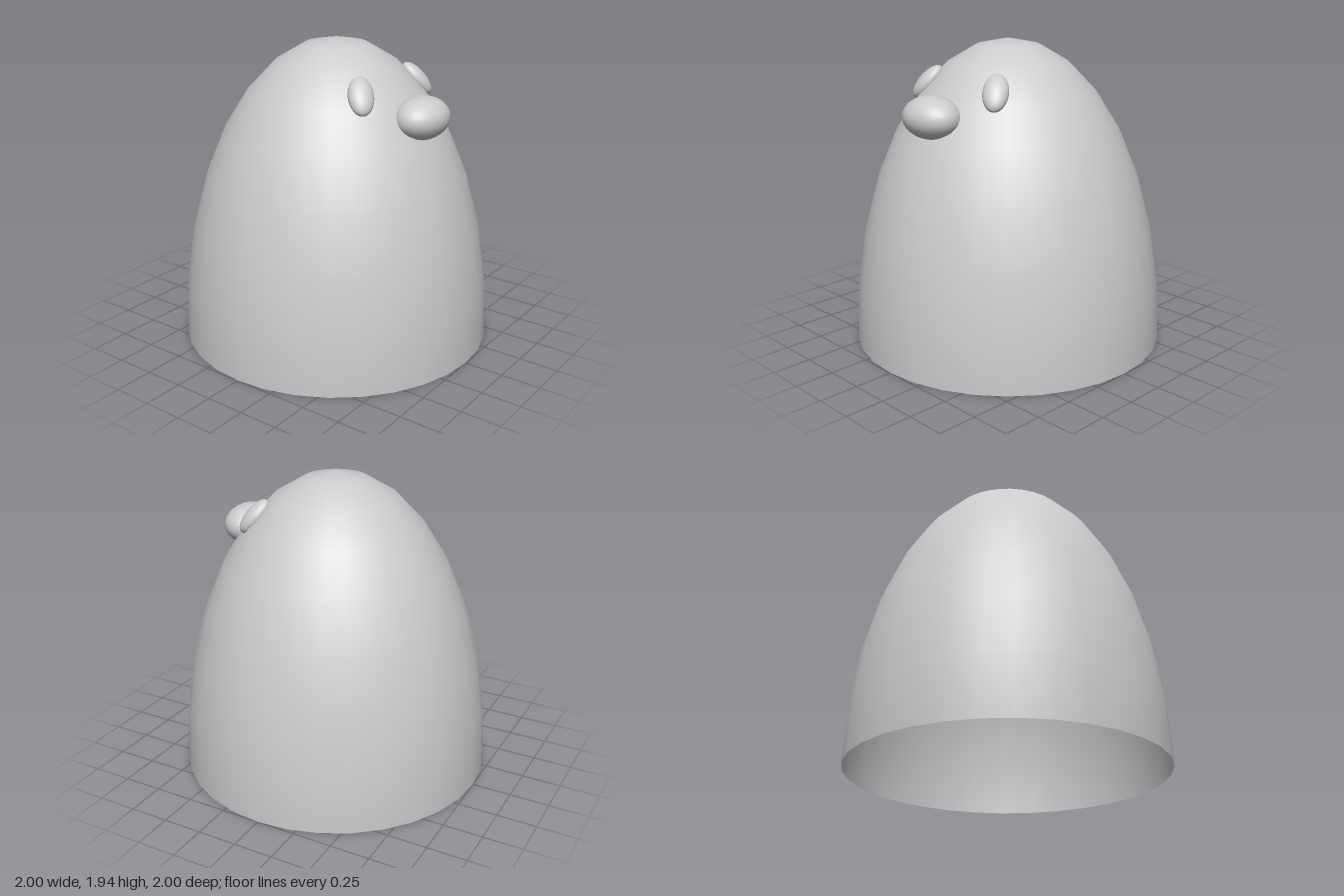
import * as THREE from 'three';

const material = new THREE.MeshStandardMaterial({ color: 0xcccccc });
const shellMaterial = new THREE.MeshStandardMaterial({ color: 0xcccccc, side: THREE.DoubleSide });

const BODY_HEIGHT = 1.94;

// Smooth ellipsoid with the given half sizes
function ellipsoid(name, rx, ry, rz) {
  const geometry = new THREE.SphereGeometry(1, 32, 20).scale(rx, ry, rz);
  const mesh = new THREE.Mesh(geometry, material);
  mesh.name = name;
  return mesh;
}

// Flattened oval lying on the body surface, its long axis running up the body
function eye(name, heading, twist) {
  const y = 1.675;
  const r = Math.sqrt(1 - (y / BODY_HEIGHT) ** 2);
  const tilt = Math.atan2(y / BODY_HEIGHT ** 2, r);
  const mesh = ellipsoid(name, 0.078, 0.128, 0.055);
  mesh.position.set(r * Math.sin(heading), y, r * Math.cos(heading));
  mesh.rotation.set(-tilt, heading, twist, 'YXZ');
  return mesh;
}

export function createModel() {
  const model = new THREE.Group();
  model.name = 'domedCreature';

  // Hollow dome, open at the bottom
  const shell = new THREE.SphereGeometry(1, 32, 8, 0, Math.PI * 2, 0, Math.PI / 2);
  const body = new THREE.Mesh(shell.scale(1, BODY_HEIGHT, 1), shellMaterial);
  body.name = 'body';
  model.add(body);

  // Rounded nose on the front
  const nose = ellipsoid('nose', 0.2, 0.13, 0.16);
  nose.position.set(0, 1.52, 0.63);
  model.add(nose);

  // Eyes, the right one leaning slightly more inward
  model.add(eye('leftEye', 0.65, 0));
  model.add(eye('rightEye', -0.65, -0.12));

  return model;
}
